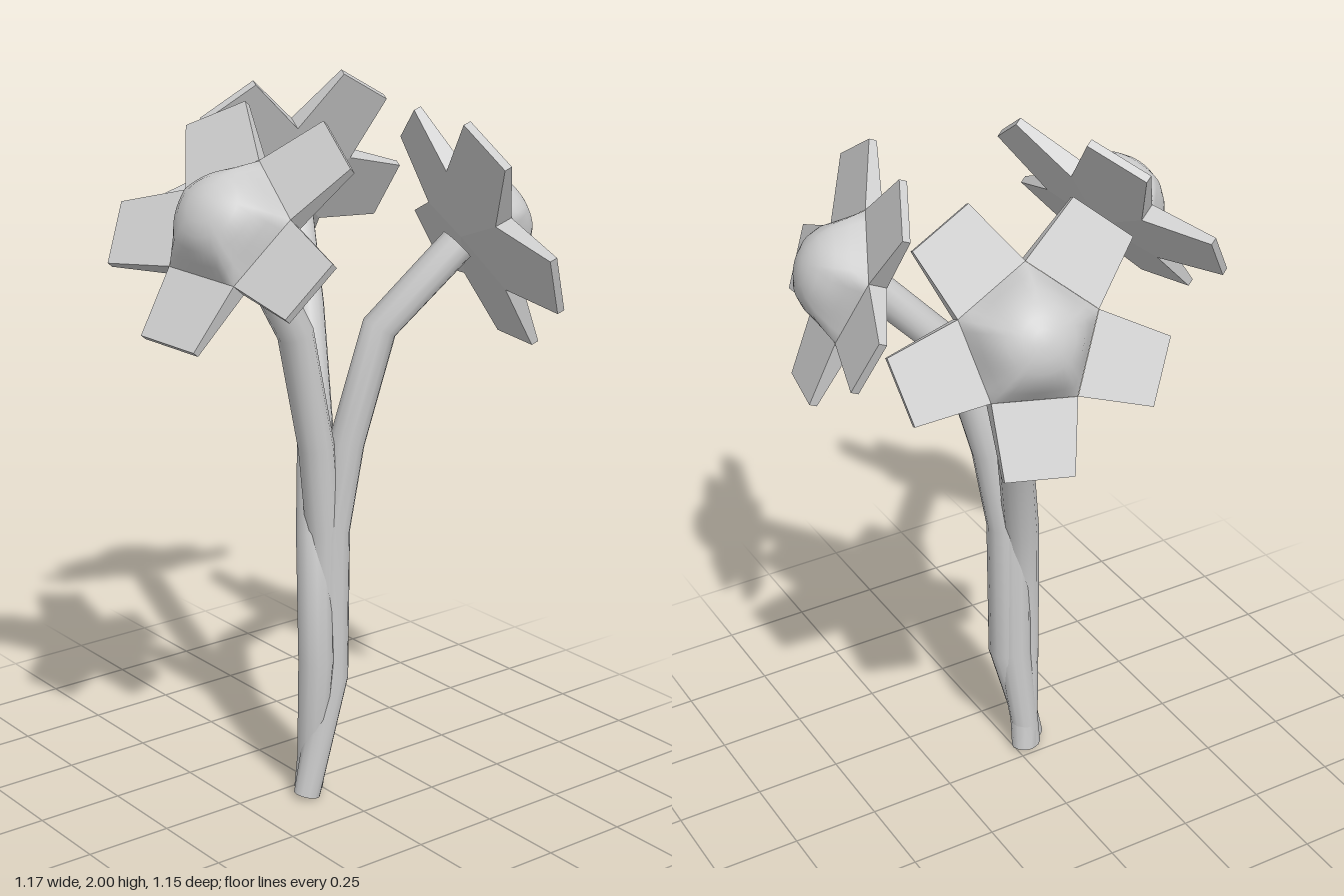
import * as THREE from 'three';
import { mergeVertices } from 'three/addons/utils/BufferGeometryUtils.js';

const material = new THREE.MeshStandardMaterial({ color: 0xcccccc });
const flatMaterial = new THREE.MeshStandardMaterial({ color: 0xcccccc, flatShading: true });
const V = (p) => new THREE.Vector3(...p);

const SIDES = 5;
const R = 0.187;                              // corner radius of the flower's pentagon
const APOTHEM = R * Math.cos(Math.PI / SIDES);
const HALF = R * Math.sin(Math.PI / SIDES);

// Skin made of rings with equal point counts, closed at each end by a centre point
function loft(rings, start, end) {
  const n = rings[0].length;
  const points = rings.flat();
  const index = [];
  for (let i = 0; i < rings.length - 1; i++) {
    for (let j = 0; j < n; j++) {
      const a = i * n + j, b = i * n + (j + 1) % n;
      index.push(a, b, b + n, a, b + n, a + n);
    }
  }
  const cap = (base, centre, flip) => {
    const first = points.length;
    points.push(...points.slice(base, base + n), centre);
    for (let j = 0; j < n; j++) {
      const a = first + j, b = first + (j + 1) % n;
      index.push(...(flip ? [b, a] : [a, b]), first + n);
    }
  };
  if (start) cap(0, start, true);
  if (end) cap((rings.length - 1) * n, end, false);
  const g = new THREE.BufferGeometry().setFromPoints(points);
  g.setIndex(index);
  return g;
}

// Bent stem: a ring at each joint, slightly thinner at the foot
function stemGeometry(path) {
  const pts = path.map(V);
  const rings = pts.map((p, i) => {
    const dir = pts[Math.min(i + 1, pts.length - 1)].clone().sub(pts[Math.max(i - 1, 0)]).normalize();
    const side = new THREE.Vector3(1, 0, 0).addScaledVector(dir, -dir.x).normalize();
    const other = side.clone().cross(dir);
    const r = i === 0 ? 0.038 : 0.05;
    return Array.from({ length: 12 }, (_, j) => {
      const a = -j / 12 * Math.PI * 2;
      return p.clone().addScaledVector(side, r * Math.cos(a)).addScaledVector(other, r * Math.sin(a));
    });
  });
  const g = loft(rings, pts[0], pts[pts.length - 1]);
  g.computeVertexNormals();
  return g;
}

// Domed middle that changes from a pentagon at the rim to a circle at the top
function domeGeometry() {
  const n = 40;
  const profile = [[1, 0.008, 0], [0.85, 0.047, 0.25], [0.69, 0.083, 0.65], [0.5, 0.111, 1], [0.3, 0.127, 1], [0.13, 0.133, 1]];
  const step = Math.PI * 2 / SIDES;
  const rings = profile.map(([s, h, round]) => Array.from({ length: n }, (_, j) => {
    const a = j / n * Math.PI * 2;
    const pentagon = APOTHEM / Math.cos((a % step) - step / 2);
    const r = s * THREE.MathUtils.lerp(pentagon, R * 0.93, round);
    // corners lie halfway between petals, whose first points along +y
    const t = a + Math.PI / 2 + step / 2;
    return new THREE.Vector3(r * Math.cos(t), r * Math.sin(t), h);
  }));
  const g = mergeVertices(loft(rings, null, new THREE.Vector3(0, 0, 0.135)));
  g.computeVertexNormals();
  return g;
}

// Petal along +y: flat in front, its back one straight slope from the stem to a thin tip
function petalGeometry() {
  const tip = 0.09, len = 0.347, front = 0.01, tipBack = -0.012, depth = -0.065;
  const baseBack = THREE.MathUtils.lerp(depth, tipBack, APOTHEM / len);
  const p = [
    [-HALF, APOTHEM, front], [HALF, APOTHEM, front], [tip, len, front], [-tip, len, front],
    [-HALF, APOTHEM, baseBack], [HALF, APOTHEM, baseBack], [tip, len, tipBack], [-tip, len, tipBack],
    [0, 0, depth],
  ].map(V);
  const quads = [[0, 1, 2, 3], [5, 4, 7, 6], [1, 5, 6, 2], [4, 0, 3, 7], [3, 2, 6, 7]];
  const index = quads.flatMap(([a, b, c, d]) => [a, b, c, a, c, d]);
  index.push(8, 4, 5);
  const g = new THREE.BufferGeometry().setFromPoints(p);
  g.setIndex(index);
  const flat = g.toNonIndexed();
  flat.computeVertexNormals();
  return flat;
}

// Head placement: centre, facing direction, direction of the first petal; then stem joints
const flowers = [
  {
    name: 'frontFlower', centre: [0.101, 1.705, 0.337], facing: [0.239, 0.595, 0.766], petal: [0.176, 0.205, -0.214],
    stem: [[0.043, 0.015, 0.042], [0.07, 0.36, 0.01], [0.075, 0.8, 0.01], [0.08, 1.05, 0.04], [0.08, 1.38, 0.11], [0.085, 1.65, 0.265]],
  },
  {
    name: 'rightFlower', centre: [-0.41, 1.695, -0.222], facing: [-0.865, 0.454, -0.212], petal: [0.172, 0.259, -0.147],
    stem: [[0.037, 0.015, 0.028], [0.1, 0.43, 0.055], [0.05, 0.79, 0.025], [-0.03, 1.08, -0.04], [-0.155, 1.38, -0.105], [-0.33, 1.635, -0.195]],
  },
  {
    name: 'backFlower', centre: [0.23, 1.629, -0.403], facing: [0.169, 0.374, -0.912], petal: [0.17, 0.245, 0.132],
    stem: [[0.08, 0.015, 0.072], [0.083, 0.36, -0.01], [0.085, 0.8, -0.012], [0.1, 1.05, -0.05], [0.138, 1.37, -0.13], [0.215, 1.585, -0.335]],
  },
];

export function createModel() {
  const model = new THREE.Group();
  model.name = 'flowerBunch';
  const dome = domeGeometry();
  const petal = petalGeometry();

  for (const f of flowers) {
    const flower = new THREE.Group();
    flower.name = f.name;

    const stem = new THREE.Mesh(stemGeometry(f.stem), material);
    stem.name = 'stem';
    flower.add(stem);

    // Head: local +z faces outward, local +y runs along the first petal
    const head = new THREE.Group();
    head.name = 'flowerHead';
    const z = V(f.facing).normalize();
    const x = V(f.petal).cross(z).normalize();
    const y = z.clone().cross(x);
    head.quaternion.setFromRotationMatrix(new THREE.Matrix4().makeBasis(x, y, z));
    head.position.set(...f.centre);

    const middle = new THREE.Mesh(dome, material);
    middle.name = 'domedCentre';
    head.add(middle);
    for (let i = 0; i < SIDES; i++) {
      const m = new THREE.Mesh(petal, flatMaterial);
      m.name = 'petal';
      m.rotation.z = i * Math.PI * 2 / SIDES;
      head.add(m);
    }
    flower.add(head);
    model.add(flower);
  }
  return model;
}
